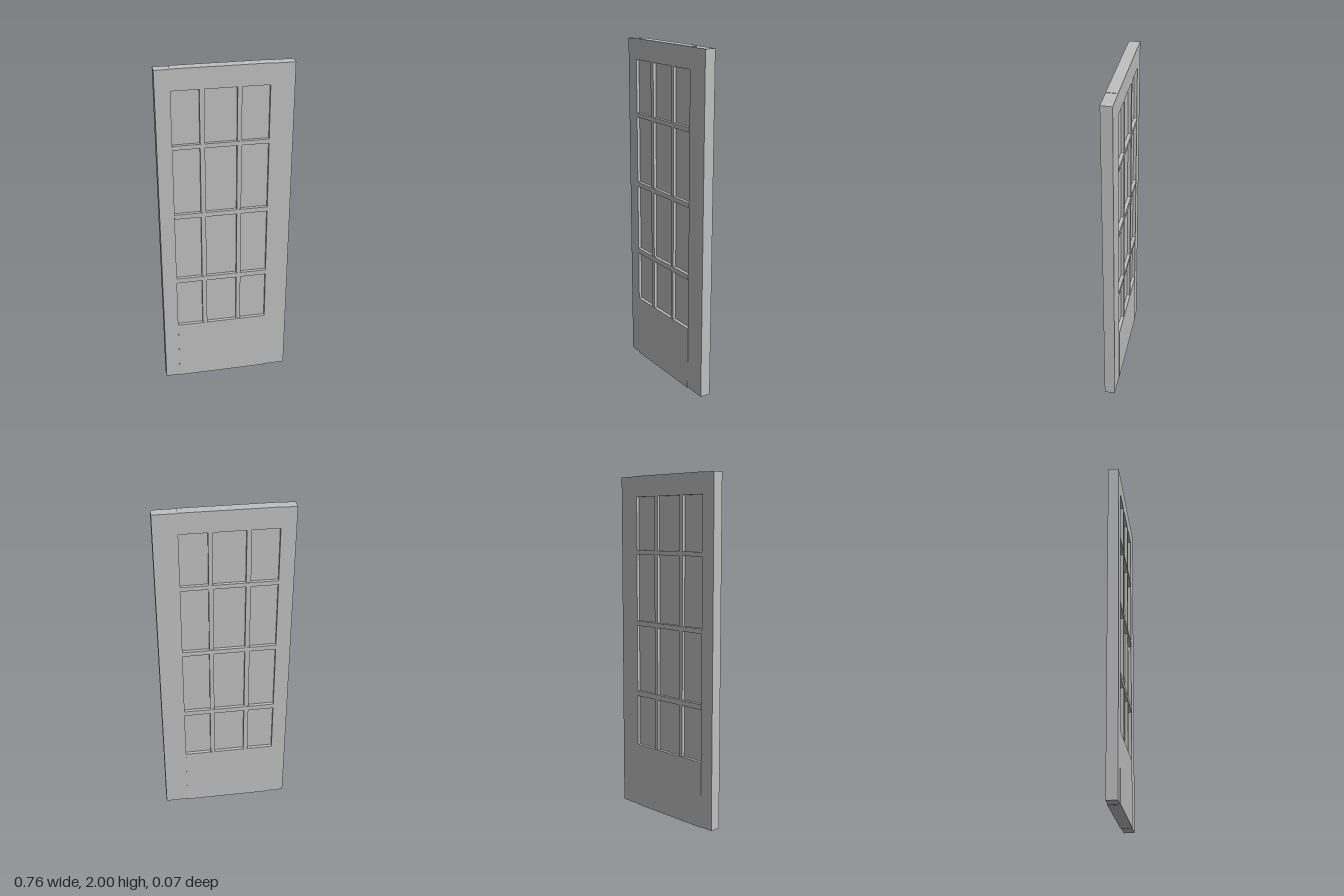
import * as THREE from 'three';

export function createModel() {
  const door = new THREE.Group();
  door.name = 'panelDoor';
  const paint = new THREE.MeshStandardMaterial({ color: 0xbfbfbf });
  paint.name = 'greyPaint';

  // Box given by its x and y limits and half its depth
  function block(name, x0, x1, y0, y1, halfDepth) {
    const mesh = new THREE.Mesh(new THREE.BoxGeometry(x1 - x0, y1 - y0, halfDepth * 2), paint);
    mesh.name = name;
    mesh.position.set((x0 + x1) / 2, (y0 + y1) / 2, 0);
    door.add(mesh);
  }

  const inner = [-0.295, 0.245];
  const stileDepth = 0.0315, railDepth = 0.034, paneDepth = 0.014;

  // Upright stiles, a touch shorter than the rails; the left one is wider
  block('rightStile', -0.38, inner[0], 0.002, 1.998, stileDepth);
  block('leftStile', inner[1], 0.38, 0.002, 1.998, stileDepth);

  // Top and bottom rails
  block('topRail', ...inner, 1.88, 2, stileDepth);
  block('bottomRail', ...inner, 0, 0.385, railDepth);

  // Cross bars standing slightly proud of the stiles
  for (const [y0, y1] of [[0.69, 0.72], [1.12, 1.148], [1.545, 1.57]]) {
    block('crossBar', ...inner, y0, y1, railDepth);
  }

  // Upright bars between panes, and the recessed panes, row by row
  const rows = [[0.385, 0.69], [0.72, 1.12], [1.148, 1.545], [1.57, 1.88]];
  const columns = [[-0.295, -0.142], [-0.115, 0.065], [0.09, 0.245]];
  for (const [y0, y1] of rows) {
    columns.forEach(([x0, x1], i) => {
      block('pane', x0, x1, y0, y1, paneDepth);
      if (i < 2) block('uprightBar', x1, columns[i + 1][0], y0, y1, stileDepth);
    });
  }
  return door;
}
